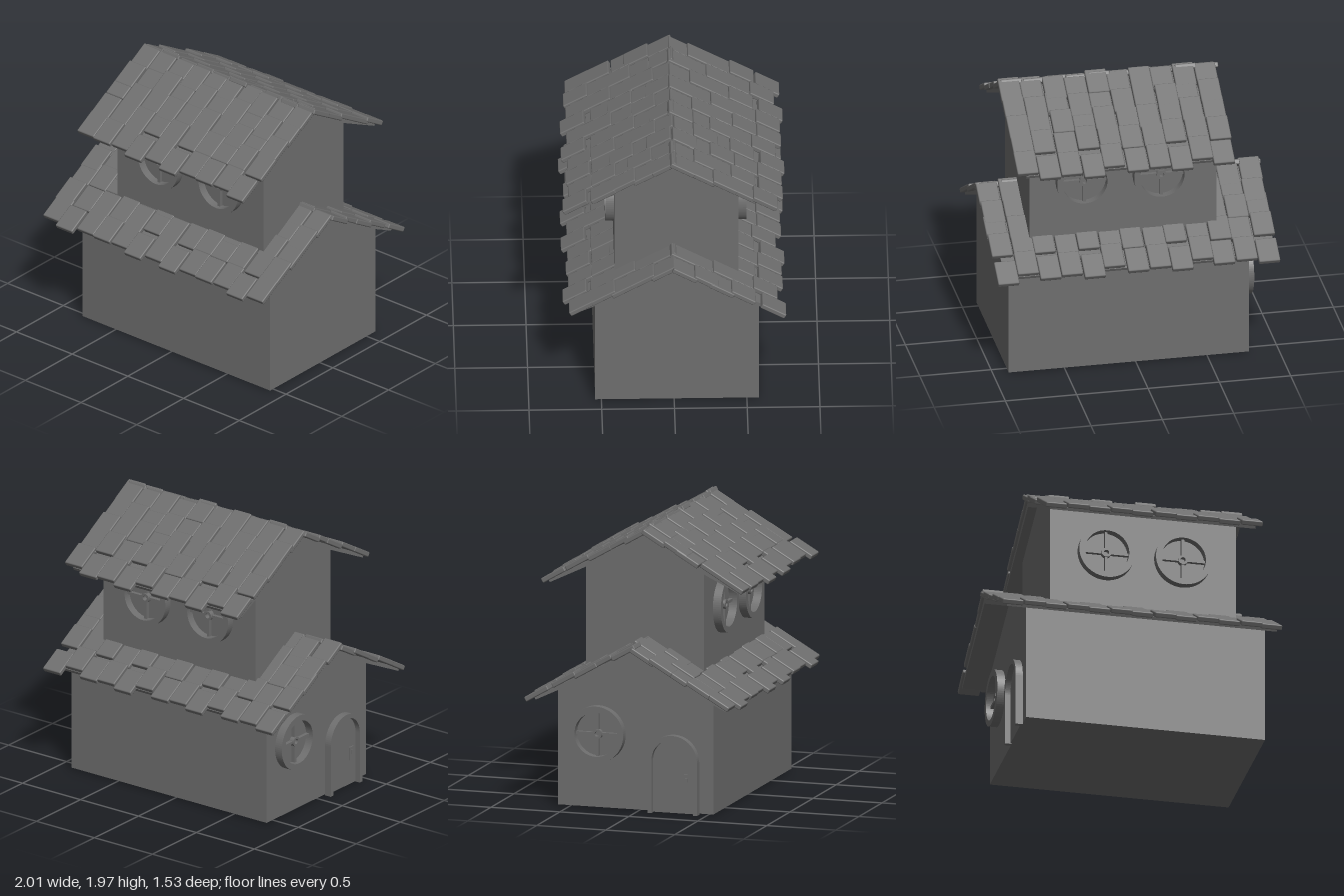
import * as THREE from 'three';
import { RoundedBoxGeometry } from 'three/addons/geometries/RoundedBoxGeometry.js';

const mat = new THREE.MeshStandardMaterial({ color: 0x6e6e6e });

function add(parent, name, geometry, x = 0, y = 0, z = 0) {
  const m = new THREE.Mesh(geometry, mat);
  m.name = name;
  m.position.set(x, y, z);
  parent.add(m);
  return m;
}

// Extrude a (z, y) outline along x, from x0 to x1
function extrudeX(points, x0, x1) {
  const shape = new THREE.Shape(points.map(([z, y]) => new THREE.Vector2(-z, y)));
  const g = new THREE.ExtrudeGeometry(shape, { depth: x1 - x0, bevelEnabled: false });
  return g.rotateY(Math.PI / 2).translate(x0, 0, 0);
}

// Gabled storey: five-sided section under a ridge at z = 0
function storey(parent, name, x0, x1, zFront, zBack, bottom, ridge) {
  const k = 0.475;
  add(parent, name, extrudeX([
    [zFront, bottom], [zBack, bottom], [zBack, ridge + k * zBack],
    [0, ridge], [zFront, ridge - k * zFront],
  ], x0, x1));
}

// Roof: a bent board covered by rows of staggered shingles
const PITCH = 0.1525;
const SLOPE = Math.atan(0.515);
const TILT = 0.05;
const TILE = { w: 0.149, t: 0.036, l: 0.19 };
const tileGeometry = new RoundedBoxGeometry(TILE.w, TILE.t, TILE.l, 1, 0.008);
const rowEnds = [0.165, 0.3, 0.43, 0.575, 0.73];
const frontStagger = [0, 0.038, 0, 0.01, 0, 0.038, 0, 0.038, 0, 0.01, 0, 0.038, 0];
const backStagger = [0.045, 0.02, 0.028, -0.015];

// Repeatable unevenness between -1 and 1
function uneven(a, b, c) {
  const v = Math.sin(a * 12.99 + b * 78.23 + c * 37.72) * 43758.55;
  return 2 * (v - Math.floor(v)) - 1;
}

function roof(name, xStart, columns, firstColumn, ridge) {
  const group = new THREE.Group();
  group.name = name;
  const under = ridge - 0.09, eave = under - 0.33;
  add(group, 'roofBoard', extrudeX([
    [0.69, eave], [0.7, eave + 0.02], [0, under + 0.045], [-0.7, eave + 0.02],
    [-0.69, eave], [0, under],
  ], xStart + 0.04, xStart + columns * PITCH - 0.04));
  for (const side of [1, -1]) {
    for (let c = 0; c < columns; c++) {
      const i = c + firstColumn;
      for (let r = 0; r < rowEnds.length; r++) {
        const stagger = side > 0 ? frontStagger[i] : backStagger[i % 4];
        const end = rowEnds[r] + (r === 4 ? stagger : 0.02 * uneven(i, r, side));
        const along = end / Math.cos(SLOPE) - TILE.l / 2;
        const lift = -TILE.t / 2 + ((i + r) % 2 ? 0.004 : -0.004);
        const x = xStart + (c + 0.5) * PITCH + (side < 0 ? 0.024 : 0) + 0.006 * uneven(r, i, side);
        const tile = add(group, 'shingle', tileGeometry, x,
          ridge - along * Math.sin(SLOPE) + lift * Math.cos(SLOPE),
          side * (along * Math.cos(SLOPE) + lift * Math.sin(SLOPE)));
        tile.rotation.x = side * (SLOPE + TILT);
      }
    }
  }
  return group;
}

// Flat ring standing on z = 0 and facing +z
function ring(outer, inner, depth, segments) {
  const s = new THREE.Shape().absarc(0, 0, outer, 0, Math.PI * 2);
  s.holes.push(new THREE.Path().absarc(0, 0, inner, 0, Math.PI * 2, true));
  return new THREE.ExtrudeGeometry(s, { depth, bevelEnabled: false, curveSegments: segments });
}

// Round window with a cross of bars and a ring hub
function roundWindow(x, y, z, turn) {
  const g = new THREE.Group();
  g.name = 'roundWindow';
  add(g, 'windowFrame', ring(0.197, 0.155, 0.058, 40));
  add(g, 'windowHub', ring(0.034, 0.018, 0.034, 20));
  for (let i = 0; i < 4; i++) {
    const a = i * Math.PI / 2;
    const bar = add(g, 'windowBar', new THREE.BoxGeometry(0.135, 0.02, 0.026),
      0.092 * Math.cos(a), 0.092 * Math.sin(a), 0.013);
    bar.rotation.z = a;
  }
  g.position.set(x, y, z);
  g.rotation.y = turn;
  return g;
}

function door() {
  const g = new THREE.Group();
  g.name = 'door';
  // Frame: posts joined by a half ring
  const R = 0.18, r = 0.15, spring = 0.37;
  const frame = new THREE.Shape();
  frame.moveTo(R, 0);
  frame.lineTo(R, spring);
  frame.absarc(0, spring, R, 0, Math.PI);
  frame.lineTo(-R, 0);
  frame.lineTo(-r, 0);
  frame.lineTo(-r, spring);
  frame.absarc(0, spring, r, Math.PI, 0, true);
  frame.lineTo(r, 0);
  add(g, 'doorFrame', new THREE.ExtrudeGeometry(frame, { depth: 0.05, bevelEnabled: false, curveSegments: 20 }));
  // Leaf: straight sides and a round top
  const leaf = new THREE.Shape();
  leaf.moveTo(-r, 0);
  leaf.lineTo(r, 0);
  leaf.absarc(0, spring, r, 0, Math.PI);
  add(g, 'doorLeaf', new THREE.ExtrudeGeometry(leaf, { depth: 0.012, bevelEnabled: false, curveSegments: 20 }), 0, 0.003, 0);
  // Handle plate and knob
  add(g, 'handlePlate', new THREE.BoxGeometry(0.04, 0.095, 0.01), 0.095, 0.23, 0.016);
  add(g, 'doorKnob', new THREE.BoxGeometry(0.018, 0.03, 0.008), 0.095, 0.24, 0.023);
  g.position.set(-0.79, 0, 0.26);
  g.rotation.y = -Math.PI / 2;
  return g;
}

export function createModel() {
  const house = new THREE.Group();
  house.name = 'house';
  storey(house, 'lowerStorey', -0.79, 0.893, 0.543, -0.583, 0.008, 1.11);
  storey(house, 'upperStorey', -0.59, 0.72, 0.407, -0.447, 0.88, 1.875);
  house.add(roof('lowerRoof', -1, 13, 0, 1.187));
  house.add(roof('upperRoof', -0.693, 10, 2, 1.952));

  // Two windows on each long wall of the upper storey, one beside the door
  for (const x of [-0.2, 0.34]) {
    house.add(roundWindow(x, 1.365, 0.407, 0));
    house.add(roundWindow(x, 1.365, -0.447, Math.PI));
  }
  house.add(roundWindow(-0.79, 0.525, -0.29, -Math.PI / 2));
  house.add(door());
  return house;
}
